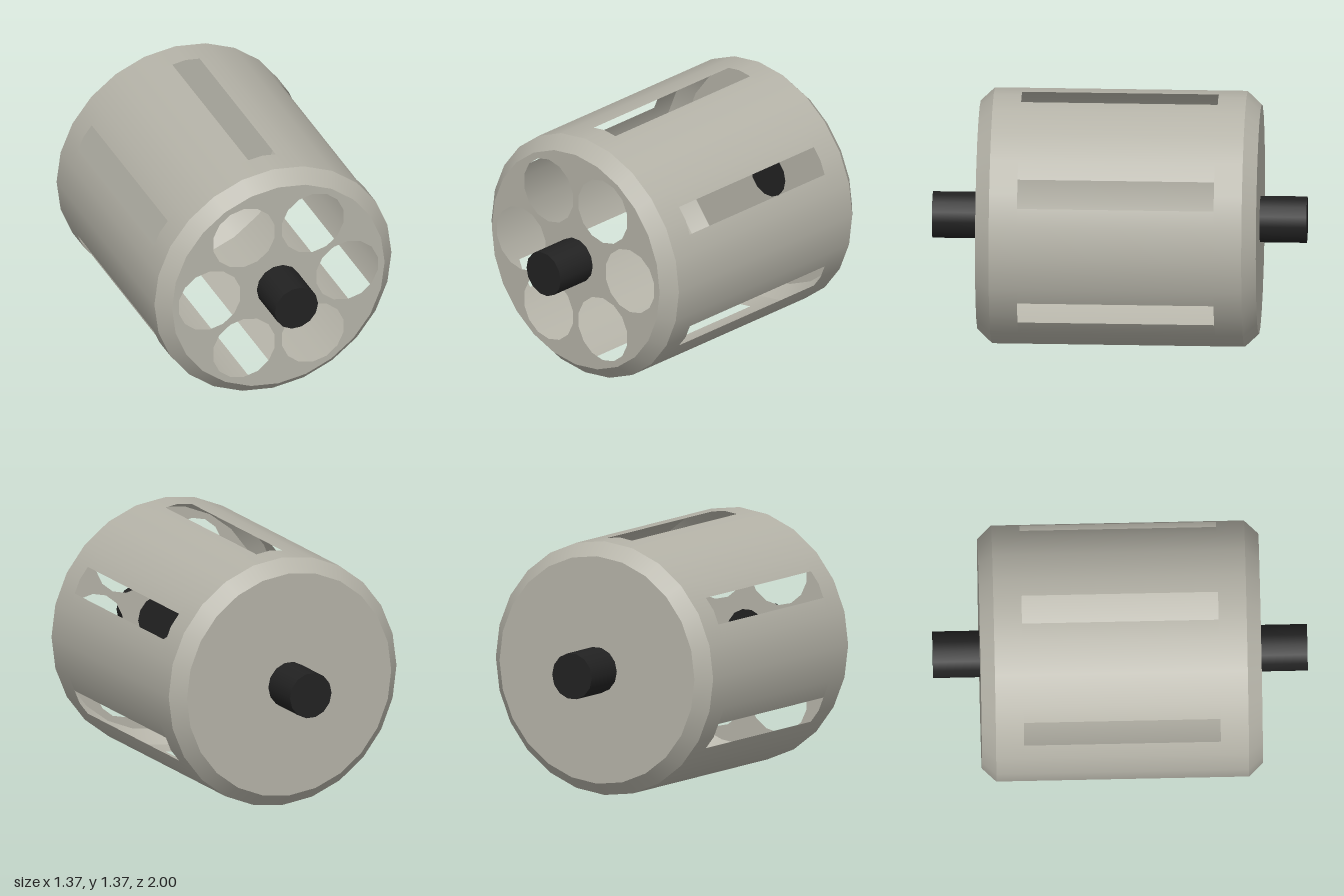
import * as THREE from 'three';

const SIDES = 24, R = 0.686, CAP_R = 0.615;
const SLOT_Z = 0.525, SHOULDER_Z = 0.675, END_Z = 0.75;
const SLOT_EDGE = 0.446; // half slot width, as a fraction of one facet

// Point on the drum's polygon; u counts facets and may be fractional
function rim(u, r) {
  const i = Math.floor(u + 1e-9), t = u - i, step = (Math.PI * 2) / SIDES;
  const a = i * step, b = (i + 1) * step;
  return [
    r * (Math.cos(a) * (1 - t) + Math.cos(b) * t),
    r * (Math.sin(a) * (1 - t) + Math.sin(b) * t),
  ];
}

// Smooth strip between two rings, z0 < z1
function strip(us, r0, z0, r1, z1) {
  const pos = [], nor = [], idx = [];
  const n = new THREE.Vector3();
  us.forEach((u, i) => {
    const a = (u * Math.PI * 2) / SIDES;
    n.set(Math.cos(a) * (z1 - z0), Math.sin(a) * (z1 - z0), r0 - r1).normalize();
    pos.push(...rim(u, r0), z0, ...rim(u, r1), z1);
    nor.push(n.x, n.y, n.z, n.x, n.y, n.z);
    if (i > 0) {
      const k = 2 * (i - 1);
      idx.push(k, k + 2, k + 1, k + 1, k + 2, k + 3);
    }
  });
  const g = new THREE.BufferGeometry();
  g.setAttribute('position', new THREE.Float32BufferAttribute(pos, 3));
  g.setAttribute('normal', new THREE.Float32BufferAttribute(nor, 3));
  g.setIndex(idx);
  return g;
}

function polygon(target, n, r, cx = 0, cy = 0, start = 0) {
  const pts = [];
  for (let i = 0; i < n; i++) {
    const a = start + (i * Math.PI * 2) / n;
    pts.push(new THREE.Vector2(cx + r * Math.cos(a), cy + r * Math.sin(a)));
  }
  return target.setFromPoints(pts);
}

export function createModel() {
  const shell = new THREE.MeshStandardMaterial({ color: 0xb5b3a8, side: THREE.DoubleSide });
  shell.name = 'warm grey';
  const dark = new THREE.MeshStandardMaterial({ color: 0x222222 });
  dark.name = 'black';

  const model = new THREE.Group();
  model.name = 'slottedDrum';
  const add = (name, geometry, material) => {
    const mesh = new THREE.Mesh(geometry, material);
    mesh.name = name;
    model.add(mesh);
    return mesh;
  };

  // Wall panels between the six slots
  for (let k = 0; k < 6; k++) {
    const s = 2 + 4 * k;
    const us = [s + SLOT_EDGE, s + 1, s + 2, s + 3, s + 4 - SLOT_EDGE];
    add('wallPanel', strip(us, R, -SLOT_Z, R, SLOT_Z), shell);
  }

  // Solid bands and bevels at both ends
  const full = Array.from({ length: SIDES + 1 }, (_, i) => i);
  add('frontBand', strip(full, R, SLOT_Z, R, SHOULDER_Z), shell);
  add('backBand', strip(full, R, -SHOULDER_Z, R, -SLOT_Z), shell);
  add('frontBevel', strip(full, R, SHOULDER_Z, CAP_R, END_Z), shell);
  add('backBevel', strip(full, CAP_R, -END_Z, R, -SHOULDER_Z), shell);

  // Front cap with six round openings
  const face = polygon(new THREE.Shape(), SIDES, CAP_R);
  for (let k = 0; k < 6; k++) {
    const a = (k * Math.PI) / 3;
    face.holes.push(polygon(new THREE.Path(), 14, 0.182, 0.398 * Math.cos(a), 0.398 * Math.sin(a), Math.PI / 2));
  }
  add('frontCap', new THREE.ShapeGeometry(face), shell).position.z = END_Z;

  // Closed back cap
  const back = new THREE.ShapeGeometry(polygon(new THREE.Shape(), SIDES, CAP_R));
  back.rotateY(Math.PI);
  add('backCap', back, shell).position.z = -END_Z;

  // Axle stubs
  for (const side of [1, -1]) {
    const stub = new THREE.CylinderGeometry(0.125, 0.125, 0.252, 14, 1, false, Math.PI / 2);
    stub.rotateX(Math.PI / 2);
    add(side > 0 ? 'frontAxle' : 'backAxle', stub, dark).position.z = side * 0.874;
  }

  // Rest the drum on the ground
  model.children.forEach((m) => { m.position.y = R; });
  return model;
}
